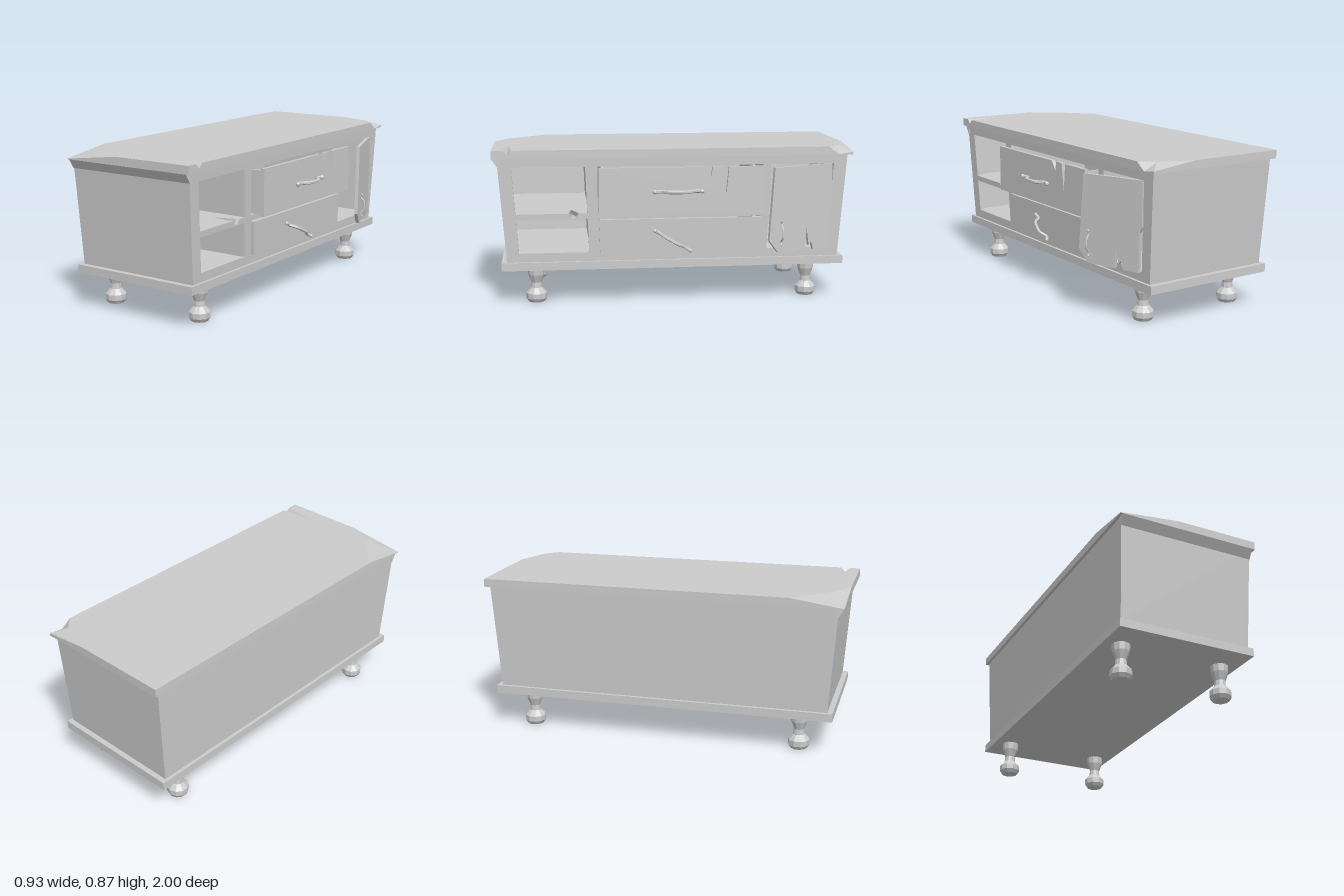
import * as THREE from 'three';

const mat = new THREE.MeshStandardMaterial({ color: 0xcccccc, flatShading: true, side: THREE.DoubleSide });

// Body widens slightly towards the top
function taper(geo) {
  const p = geo.attributes.position, cx = -0.0685;
  for (let i = 0; i < p.count; i++) {
    const s = 1 + 0.045 * (p.getY(i) - 0.24) / 0.58;
    p.setXYZ(i, cx + (p.getX(i) - cx) * s, p.getY(i), p.getZ(i) * s);
  }
  geo.computeVertexNormals();
  return geo;
}

function add(parent, name, geo) {
  const m = new THREE.Mesh(geo, mat);
  m.name = name;
  parent.add(m);
  return m;
}

// Box given by its extents
function block(x0, x1, y0, y1, z0, z1) {
  return new THREE.BoxGeometry(x1 - x0, y1 - y0, z1 - z0)
    .translate((x0 + x1) / 2, (y0 + y1) / 2, (z0 + z1) / 2);
}

// Upright panel outlined by [z, y] points, extruded from x0 to x1
function panel(points, x0, x1, holes = []) {
  const vec = (list) => list.map(([z, y]) => new THREE.Vector2(-z, y));
  const shape = new THREE.Shape(vec(points));
  holes.forEach((h) => shape.holes.push(new THREE.Path(vec(h))));
  return new THREE.ExtrudeGeometry(shape, { depth: x1 - x0, bevelEnabled: false })
    .rotateY(Math.PI / 2).translate(x0, 0, 0);
}

const rect = (z0, z1, y0, y1) => [[z0, y0], [z1, y0], [z1, y1], [z0, y1]];

// Warped top board with a dipped corner, a chipped corner and a crack
function topBoard() {
  const y = 0.865, yb = 0.82;
  const P = {
    a: [-0.47, y, -1], b: [0.07, y, -1], c: [0.335, 0.835, -1], d: [0.265, y, -0.93],
    m: [0.335, 0.822, -0.92], e: [0.335, y, -0.86], f: [0.335, y, 0.89], g: [0.335, 0.84, 0.915],
    h: [0.335, y, 0.94], i: [0.12, y, 0.91], j: [0.335, y, 1], k: [-0.13, y, 1],
    l: [-0.47, 0.823, 1], n: [-0.27, y, 0.93], o: [-0.47, y, 0.71],
  };
  const pos = [];
  const tri = (...t) => t.forEach((v) => pos.push(...v));
  const up = (p, q, r) => {
    const ny = (q[2] - p[2]) * (r[0] - p[0]) - (q[0] - p[0]) * (r[2] - p[2]);
    if (ny > 0) tri(p, q, r); else tri(p, r, q);
  };
  const flat = [...'abdefihjkno'].map((n) => P[n]);
  THREE.ShapeUtils.triangulateShape(flat.map((v) => new THREE.Vector2(v[0], v[2])), [])
    .forEach((t) => up(...t.map((n) => flat[n])));
  ['bcd', 'cmd', 'med', 'fgi', 'ghi', 'kln', 'lon'].forEach((t) => up(...[...t].map((n) => P[n])));
  const low = (v) => [v[0], yb, v[2]];
  const rim = [...'abcmefghjklo'].map((n) => P[n]);
  rim.forEach((p, n) => {
    const q = rim[(n + 1) % rim.length];
    tri(p, q, low(q));
    tri(p, low(q), low(p));
  });
  tri(low(P.a), low(P.c), low(P.j));
  tri(low(P.a), low(P.j), low(P.l));
  const g = new THREE.BufferGeometry();
  g.setAttribute('position', new THREE.Float32BufferAttribute(pos, 3));
  g.computeVertexNormals();
  return g;
}

// Curved pull running along z, standing out along x
function handle() {
  const g = new THREE.Group();
  g.name = 'handle';
  const pts = [[0.02, -0.13], [0.01, -0.095], [0.045, -0.05], [0.05, 0], [0.045, 0.05], [0.01, 0.095], [0.02, 0.13]]
    .map(([x, z]) => new THREE.Vector3(x, 0, z));
  add(g, 'grip', new THREE.TubeGeometry(new THREE.CatmullRomCurve3(pts), 20, 0.01, 6));
  for (const s of [-1, 1]) {
    add(g, 'gripEnd', new THREE.SphereGeometry(0.013, 7, 5).translate(0.02, 0, s * 0.13));
  }
  return g;
}

export function createModel() {
  const model = new THREE.Group();
  model.name = 'cabinet';

  add(model, 'topBoard', topBoard());
  add(model, 'basePlinth', block(-0.455, 0.315, 0.195, 0.24, -0.96, 0.96));
  add(model, 'cornice', panel([[0.955, 0.765], [0.965, 0.765], [1, 0.82], [0.955, 0.82]], -0.457, 0.318));

  // Carcass
  const carcass = new THREE.Group();
  carcass.name = 'carcass';
  model.add(carcass);
  const walls = {
    backWall: [-0.437, -0.417, 0.24, 0.82, -0.93, 0.93],
    endWallLeft: [-0.437, 0.28, 0.24, 0.82, 0.91, 0.93],
    endWallRight: [-0.437, 0.28, 0.24, 0.82, -0.93, -0.91],
    floor: [-0.42, 0.28, 0.24, 0.285, -0.91, 0.91],
    ceiling: [-0.42, 0.28, 0.775, 0.82, -0.91, 0.91],
    dividerLeft: [-0.42, 0.28, 0.28, 0.78, 0.425, 0.465],
    dividerRight: [-0.42, 0.28, 0.28, 0.78, -0.515, -0.48],
    drawerShelf: [-0.42, 0.28, 0.48, 0.505, -0.48, 0.425],
  };
  for (const n in walls) add(carcass, n, taper(block(...walls[n])));

  // Face frame, with the rail of the open side broken away
  const holes = [
    [[0.86, 0.51], [0.86, 0.77], [0.475, 0.77], [0.475, 0.51], [0.52, 0.51], [0.54, 0.483], [0.56, 0.485], [0.575, 0.51]],
    rect(0.475, 0.86, 0.29, 0.478),
    rect(-0.475, 0.415, 0.51, 0.77),
    rect(-0.475, 0.415, 0.29, 0.478),
    rect(-0.86, -0.52, 0.29, 0.77),
  ];
  add(carcass, 'faceFrame', taper(panel(rect(-0.93, 0.93, 0.24, 0.82), 0.28, 0.30, holes)));

  // Open shelf with a split in its front edge
  const plan = new THREE.Shape([[-0.42, 0.465], [0.28, 0.465], [0.28, 0.52], [0.16, 0.56], [0.28, 0.58],
    [0.28, 0.91], [-0.42, 0.91]].map(([x, z]) => new THREE.Vector2(x, -z)));
  add(carcass, 'brokenShelf', taper(new THREE.ExtrudeGeometry(plan, { depth: 0.025, bevelEnabled: false })
    .rotateX(-Math.PI / 2).translate(0, 0.482, 0)));

  // Drawers: front panel plus open tray
  function drawer(name, xf, y0, y1, front, fit) {
    const g = new THREE.Group();
    g.name = name;
    add(g, 'drawerFront', fit(panel(front, xf - 0.02, xf)));
    const back = xf - 0.6, x = xf - 0.02, t = y1 - 0.015, b = y0 + 0.006;
    add(g, 'drawerBottom', fit(block(back, x, b, b + 0.015, -0.465, 0.405)));
    add(g, 'drawerBack', fit(block(back, back + 0.02, b, t, -0.465, 0.405)));
    add(g, 'drawerSide', fit(block(back, x, b, t, 0.39, 0.405)));
    add(g, 'drawerSide', fit(block(back, x, b, t, -0.465, -0.45)));
    model.add(g);
    return g;
  }
  const upper = drawer('upperDrawer', 0.393, 0.51, 0.77, [[0.425, 0.51], [0.425, 0.77], [-0.155, 0.77],
    [-0.19, 0.72], [-0.2, 0.77], [-0.255, 0.77], [-0.275, 0.62], [-0.29, 0.77], [-0.485, 0.77], [-0.485, 0.51]], (g) => g);
  const upperHandle = handle();
  upperHandle.position.set(0.395, 0.64, -0.008);
  upper.add(upperHandle);

  const lower = drawer('lowerDrawer', 0.32, 0.288, 0.475, rect(-0.475, 0.415, 0.288, 0.475), taper);
  const lowerHandle = handle();
  lowerHandle.position.set(0.345, 0.355, 0.015);
  lowerHandle.rotation.set(-0.5, -0.2, 0);
  lowerHandle.scale.setScalar(0.86);
  lower.add(lowerHandle);

  // Damaged door standing ajar
  const door = new THREE.Group();
  door.name = 'door';
  door.position.set(0.3, 0, -0.88);
  door.rotation.y = 0.33;
  const outline = [[0.02, 0.29], [0.115, 0.29], [0.13, 0.335], [0.145, 0.315], [0.16, 0.41], [0.17, 0.29],
    [0.345, 0.293], [0.4, 0.36], [0.37, 0.765], [0, 0.77], [0, 0.53], [0.015, 0.5]];
  add(door, 'doorPanel', panel(outline, 0, 0.02));
  const doorHandle = handle();
  doorHandle.position.set(0.022, 0.4, 0.33);
  doorHandle.rotation.x = -Math.PI / 2;
  doorHandle.scale.setScalar(0.52);
  door.add(doorHandle);
  model.add(door);

  // Turned feet
  const profile = [[0, 0], [0.046, 0], [0.059, 0.02], [0.059, 0.05], [0.032, 0.08], [0.029, 0.11],
    [0.046, 0.155], [0.049, 0.2]].map(([r, y]) => new THREE.Vector2(r, y));
  for (const x of [-0.357, 0.22]) {
    for (const z of [-0.768, 0.772]) {
      add(model, 'foot', new THREE.LatheGeometry(profile, 10).translate(x, 0, z));
    }
  }
  return model;
}
